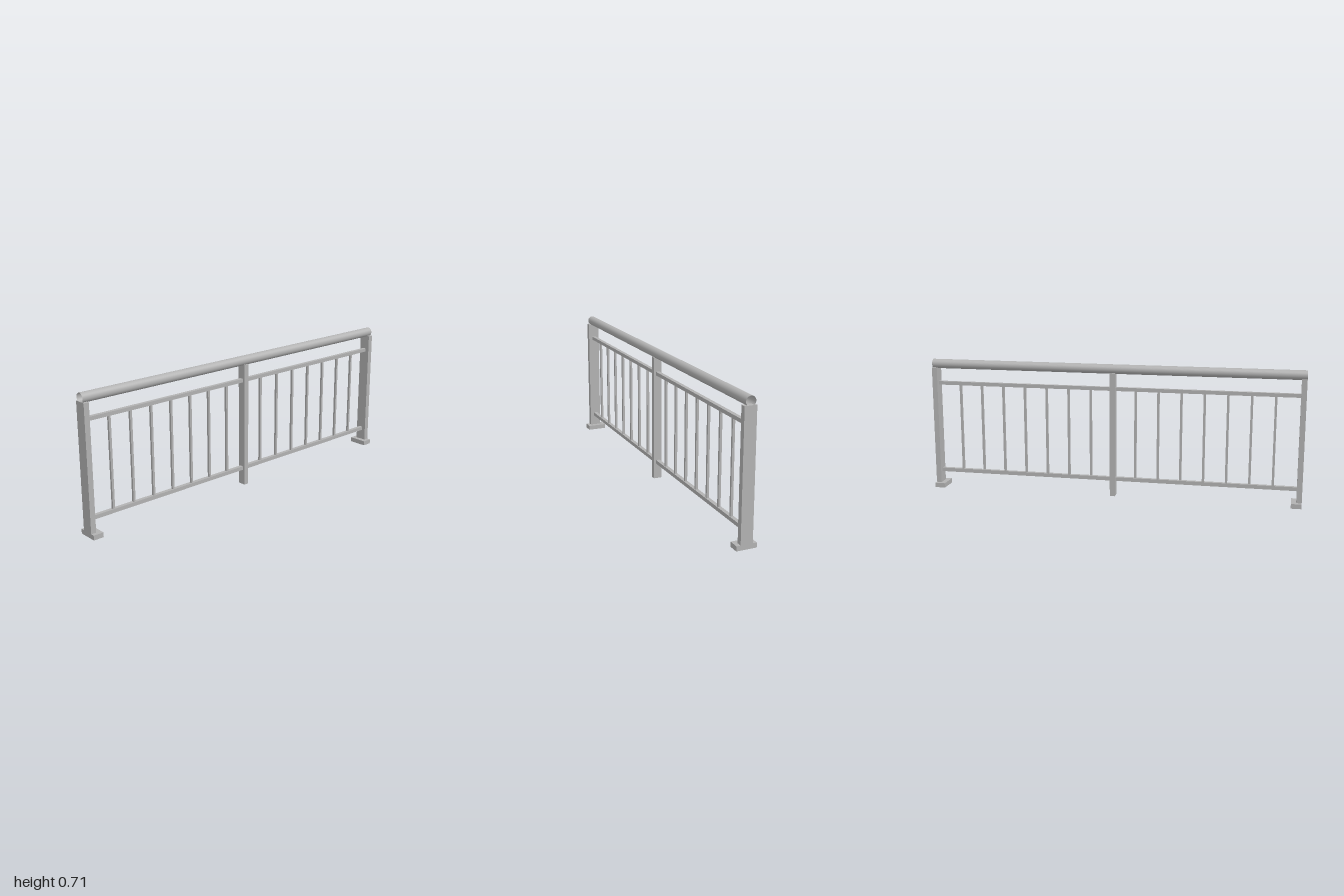
import * as THREE from 'three';

export function createModel() {
  const model = new THREE.Group();
  model.name = 'railing';
  const steel = new THREE.MeshStandardMaterial({ color: 0xb2b2b2, side: THREE.DoubleSide });
  steel.name = 'grey steel';

  // Box from its centre x, bottom and top heights, width and depth
  function bar(name, x, y0, y1, width, depth) {
    const mesh = new THREE.Mesh(new THREE.BoxGeometry(width, y1 - y0, depth), steel);
    mesh.position.set(x, (y0 + y1) / 2, 0);
    mesh.name = name;
    model.add(mesh);
  }

  // Round handrail, an open tube
  const tube = new THREE.CylinderGeometry(0.025, 0.025, 2, 32, 1, true).rotateZ(Math.PI / 2);
  const handrail = new THREE.Mesh(tube, steel);
  handrail.position.y = 0.689;
  handrail.name = 'handrail';
  model.add(handrail);

  bar('middlePost', 0, 0, 0.67, 0.028, 0.044);

  const postInner = 0.972;
  const spacing = 0.1212;
  for (const [side, label] of [[1, 'left'], [-1, 'right']]) {
    // End post with its foot
    bar(label + 'Post', side * 0.986, 0.025, 0.67, 0.028, 0.062);
    bar(label + 'Foot', side * 0.9725, 0, 0.025, 0.055, 0.104);

    // Horizontal rails between end post and middle post
    const length = postInner - 0.014;
    const centre = side * (postInner + 0.014) / 2;
    bar(label + 'LowerRail', centre, 0.083, 0.103, length, 0.02);
    bar(label + 'UpperRail', centre, 0.574, 0.593, length, 0.02);

    // Balusters
    for (let i = 1; i <= 7; i++) {
      bar(label + 'Baluster' + i, side * i * spacing, 0.103, 0.574, 0.012, 0.012);
    }
  }
  return model;
}
